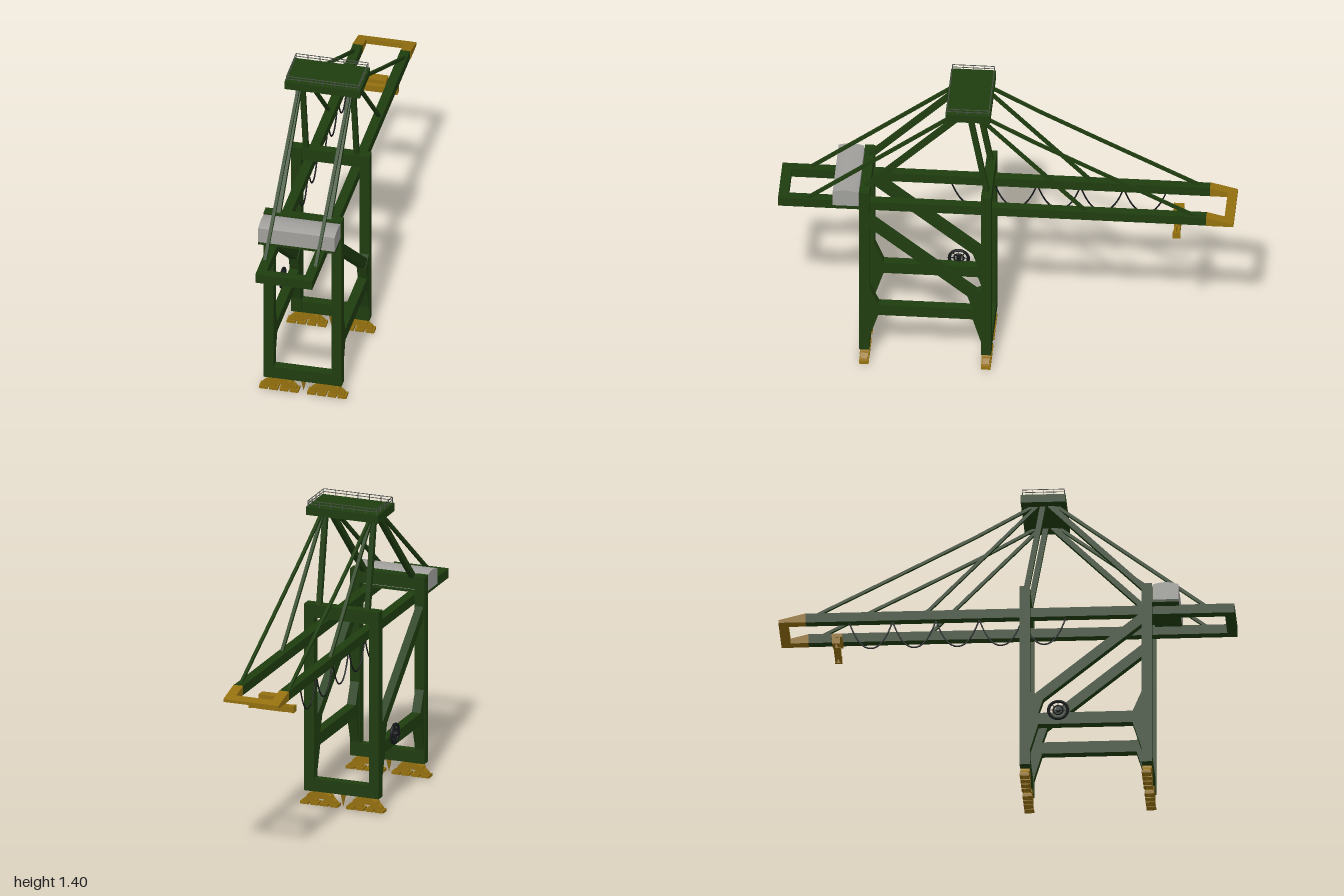
import * as THREE from 'three';

const material = (name, color, side = THREE.FrontSide) => {
  const m = new THREE.MeshStandardMaterial({ color, side });
  m.name = name;
  return m;
};

export function createModel() {
  const green = material('dark green paint', 0x1f3d10);
  const yellow = material('ochre paint', 0x94700f);
  const grey = material('house grey', 0xa09f9c);
  const black = material('cable black', 0x15181a);
  const steel = material('rail steel', 0x4a4f4a);

  const root = new THREE.Group();
  root.name = 'containerCrane';
  const V = (x, y, z) => new THREE.Vector3(x, y, z);

  function add(name, geometry, mat, parent = root) {
    const mesh = new THREE.Mesh(geometry, mat);
    mesh.name = name;
    parent.add(mesh);
    return mesh;
  }
  // Box given by its lower and upper limits
  function box(name, mat, [x0, x1], [y0, y1], [z0, z1], parent) {
    const g = new THREE.BoxGeometry(x1 - x0, y1 - y0, z1 - z0);
    g.translate((x0 + x1) / 2, (y0 + y1) / 2, (z0 + z1) / 2);
    return add(name, g, mat, parent);
  }
  // Rectangular bar between two points; w is its width along x
  function bar(name, mat, a, b, w, h = w, parent = root) {
    const mesh = add(name, new THREE.BoxGeometry(w, h, a.distanceTo(b)), mat, parent);
    mesh.position.copy(a).add(b).multiplyScalar(0.5);
    mesh.lookAt(b);
    return mesh;
  }
  const polygon = pts => new THREE.Shape(pts.map(p => new THREE.Vector2(...p)));
  // Outline in (z, y), extruded along x
  function sidePlate(name, mat, pts, x, width) {
    const g = new THREE.ExtrudeGeometry(polygon(pts), { depth: width, bevelEnabled: false });
    g.rotateY(-Math.PI / 2).translate(x + width / 2, 0, 0);
    return add(name, g, mat);
  }
  // Outline in (x, y), extruded along z
  function frontPlate(name, mat, pts, z, width, parent) {
    const g = new THREE.ExtrudeGeometry(polygon(pts), { depth: width, bevelEnabled: false });
    g.translate(0, 0, z - width / 2);
    return add(name, g, mat, parent);
  }

  const portals = [0.618, 0.083];
  const sides = [-1, 1];
  const span = (c, w) => [c - w / 2, c + w / 2];

  // Portal frames
  for (const z of portals) {
    for (const s of sides) box('portalLeg', green, span(s * 0.153, 0.045), [0.068, 0.928], span(z, 0.045));
    box('portalSill', green, [-0.132, 0.132], [0.068, 0.125], span(z, 0.043));
    box('portalTopBeam', green, [-0.132, 0.132], [0.868, 0.927], span(z, 0.043));
  }

  // Side beams, gussets and diagonal braces
  for (const s of sides) {
    const x = s * 0.153;
    box('sideBeam', green, span(x, 0.042), [0.26, 0.315], [0.1, 0.6]);
    sidePlate('rearGusset', green, [[0.6, 0.12], [0.6, 0.42], [0.556, 0.315], [0.556, 0.26]], x, 0.041);
    sidePlate('frontGusset', green, [[0.1, 0.12], [0.142, 0.26], [0.142, 0.315], [0.165, 0.385], [0.1, 0.42]], x, 0.041);
    bar('diagonalBrace', green, V(x, 0.775, 0.61), V(x, 0.375, 0.12), 0.036, 0.045);
  }

  // Wheel bogies, as a tree of balancing beams
  for (const z of portals) {
    const bogies = new THREE.Group();
    bogies.name = 'bogies';
    root.add(bogies);
    for (const s of sides) {
      const c = s * 0.108;
      frontPlate('mainEqualiser', yellow, [[c - 0.06, 0.036], [c + 0.06, 0.036], [c + 0.055, 0.05],
        [c + 0.022, 0.069], [c - 0.022, 0.069], [c - 0.055, 0.05]], z, 0.04, bogies);
      for (const t of sides) {
        const d = c + t * 0.046;
        frontPlate('minorEqualiser', yellow, [[d - 0.034, 0.016], [d + 0.034, 0.016], [d + 0.03, 0.026],
          [d + 0.01, 0.044], [d - 0.01, 0.044], [d - 0.03, 0.026]], z, 0.032, bogies);
        for (const u of sides) {
          const e = d + u * 0.023;
          box('wheelTruck', yellow, span(e, 0.038), [0.004, 0.017], span(z, 0.042), bogies);
          for (const v of sides) {
            const wheel = add('wheel', new THREE.CylinderGeometry(0.007, 0.007, 0.02, 12), yellow, bogies);
            wheel.rotation.x = Math.PI / 2;
            wheel.position.set(e + v * 0.01, 0.007, z);
          }
        }
      }
    }
    const pin = add('stowagePin', new THREE.ConeGeometry(0.014, 0.062, 8), yellow, bogies);
    pin.rotation.x = Math.PI;
    pin.position.set(0, 0.038, z);
  }

  // Twin-girder boom with tapered tip
  for (const s of sides) {
    box('boomGirder', green, span(s * 0.107, 0.042), [0.8, 0.843], [-0.88, 1]);
    sidePlate('boomTipSide', yellow, [[-0.88, 0.8], [-0.88, 0.843], [-1, 0.813], [-1, 0.8]], s * 0.108, 0.045);
  }
  box('boomRearBeam', green, [-0.087, 0.087], [0.8, 0.843], [0.957, 1]);
  sidePlate('boomTipBeam', yellow, [[-0.958, 0.8], [-0.958, 0.823], [-1, 0.813], [-1, 0.8]], 0, 0.172);

  // Machinery house with curved roof
  box('houseFloor', green, [-0.172, 0.172], [0.838, 0.85], [0.64, 0.757]);
  const house = new THREE.Shape();
  house.moveTo(0.643, 0.85);
  house.lineTo(0.643, 0.922);
  house.quadraticCurveTo(0.7, 0.944, 0.757, 0.922);
  house.lineTo(0.757, 0.85);
  const houseGeometry = new THREE.ExtrudeGeometry(house, { depth: 0.344, bevelEnabled: false, curveSegments: 8 });
  houseGeometry.rotateY(-Math.PI / 2).translate(0.172, 0, 0);
  add('machineryHouse', houseGeometry, grey);

  // Mast struts and stays
  for (const s of sides) {
    const x = s * 0.114;
    bar('rearMastStrut', green, V(x, 0.915, 0.618), V(x, 1.34, 0.19), 0.022, 0.024);
    bar('frontMastStrut', green, V(x, 0.915, 0.083), V(x, 1.34, 0.16), 0.022, 0.024);
    bar('backStay', green, V(x, 0.83, 0.885), V(x, 1.34, 0.215), 0.014);
    bar('innerForestay', green, V(x, 0.83, -0.36), V(x, 1.34, 0.135), 0.014);
    const points = [V(x, 1.34, 0.12), V(x, 1.2, -0.13), V(x, 1.06, -0.4), V(x, 0.835, -0.84)];
    for (let i = 0; i < 3; i++) bar('outerForestay', green, points[i], points[i + 1], 0.013);
  }

  // Mast head platform with railing
  const [pz0, pz1] = [0.065, 0.262];
  box('mastPlatform', green, [-0.17, 0.17], [1.335, 1.372], [pz0, pz1]);
  const railing = new THREE.Group();
  railing.name = 'railing';
  root.add(railing);
  const r = 0.0025;
  for (const x of [-0.162, 0.162]) {
    for (const y of [1.386, 1.399]) bar('sideRail', steel, V(x, y, pz0 + 0.006), V(x, y, pz1 - 0.006), r, r, railing);
    for (let i = 0; i < 5; i++) box('railPost', steel, span(x, r), [1.37, 1.399], span(0.071 + i * 0.04625, r), railing);
  }
  for (const z of [pz0 + 0.006, pz1 - 0.006]) {
    for (const y of [1.386, 1.399]) bar('endRail', steel, V(-0.162, y, z), V(0.162, y, z), r, r, railing);
    for (let i = 1; i < 6; i++) box('railPost', steel, span(-0.162 + i * 0.054, r), [1.37, 1.399], span(z, r), railing);
  }

  // Festoon cable loops beneath the right girder
  for (let i = 0; i < 5; i++) {
    const points = [];
    for (let j = 0; j <= 8; j++) {
      const t = j / 8 * 2 - 1;
      points.push(V(-0.107, 0.677 + 0.125 * Math.abs(t) ** 2.2, 0.165 - i * 0.19 - t * 0.095));
    }
    add('festoonLoop', new THREE.TubeGeometry(new THREE.CatmullRomCurve3(points), 24, 0.0035, 6), black);
  }

  // Lifting spreader
  const spreader = new THREE.Group();
  spreader.name = 'spreader';
  root.add(spreader);
  const sz = -0.748;
  box('headBlock', yellow, [-0.06, 0.057], [0.757, 0.775], span(sz, 0.046), spreader);
  box('spreaderCore', yellow, [-0.06, 0.06], [0.705, 0.735], span(sz, 0.028), spreader);
  for (const s of sides) {
    box('spreaderArm', yellow, [-0.105, 0.105], [0.706, 0.734], span(sz + s * 0.009, 0.01), spreader);
    box('spreaderEnd', yellow, span(s * 0.1, 0.012), [0.705, 0.735], span(sz, 0.034), spreader);
    for (const t of sides) box('spreaderLink', yellow, span(s * 0.052, 0.006), [0.73, 0.76], span(sz + t * 0.012, 0.005), spreader);
  }

  // Cable reel on the right side beam
  const reel = new THREE.Group();
  reel.name = 'cableReel';
  reel.position.set(-0.184, 0.322, 0.23);
  reel.rotation.y = Math.PI / 2;
  root.add(reel);
  for (const [radius, tube] of [[0.042, 0.007], [0.021, 0.004]]) {
    add('reelRing', new THREE.TorusGeometry(radius, tube, 6, 28), black, reel);
  }
  const hub = add('reelHub', new THREE.CylinderGeometry(0.01, 0.01, 0.03, 16), black, reel);
  hub.rotation.x = Math.PI / 2;
  for (let i = 0; i < 4; i++) {
    const spoke = add('reelSpoke', new THREE.BoxGeometry(0.082, 0.003, 0.003), black, reel);
    spoke.rotation.z = i * Math.PI / 4;
  }
  return root;
}
